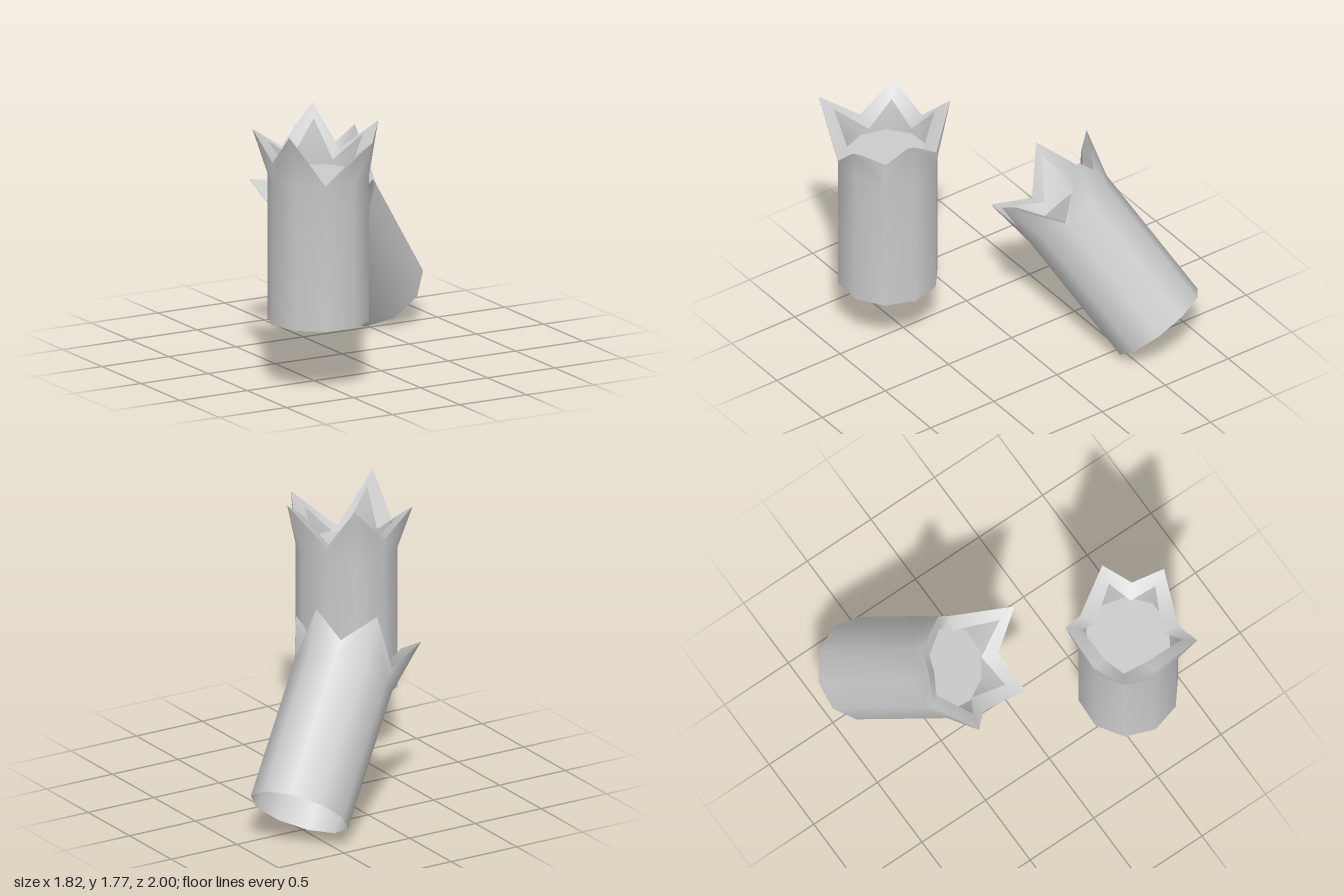
import * as THREE from 'three';

const SIDES = 10, R = 0.33, LENGTH = 0.96, START = 3 * Math.PI / 180;
const material = new THREE.MeshStandardMaterial({ color: 0xcccccc, side: THREE.DoubleSide });

// Torn rim, [angle in degrees, radius, height above the tube], tips and notches alternating
const RIM = [
  [11, 0.41, 0.33], [39, 0.33, 0.13], [67, 0.435, 0.28], [112, 0.33, 0.01], [143.6, 0.47, 0.36],
  [183, 0.33, 0.12], [220, 0.43, 0.29], [256, 0.34, 0.13], [295, 0.41, 0.38], [325, 0.33, 0.10],
];

const polar = (angle, r, y) => [Math.cos(angle) * r, y, Math.sin(angle) * r];
const ring = (r, y) => RIM.map((_, i) => polar(START + i * Math.PI * 2 / SIDES, r, y));
const rimRing = (inset, tipDrop, notchDrop) => RIM.map(([deg, r, h], i) =>
  polar(deg * Math.PI / 180, r - inset, LENGTH + h - (i % 2 ? notchDrop : tipDrop)));

// Skins a stack of closed rings
function loft(rings) {
  const index = [];
  for (let j = 0; j < rings.length - 1; j++) {
    for (let i = 0; i < SIDES; i++) {
      const n = (i + 1) % SIDES;
      const a = j * SIDES + i, b = j * SIDES + n, c = a + SIDES, d = b + SIDES;
      // diagonals start from the notches so both flanks of a tip match
      if (i % 2) index.push(a, c, d, a, d, b);
      else index.push(a, c, b, b, c, d);
    }
  }
  const geometry = new THREE.BufferGeometry();
  geometry.setAttribute('position', new THREE.Float32BufferAttribute(rings.flat(2), 3));
  geometry.setIndex(index);
  geometry.computeVertexNormals();
  return geometry;
}

function createTube(name) {
  const tube = new THREE.Group();
  tube.name = name;
  const add = (part, geometry) => {
    const mesh = new THREE.Mesh(geometry, material);
    mesh.name = part;
    tube.add(mesh);
    return mesh;
  };

  // Open-bottomed wall flaring into the torn points
  add('tubeWall', loft([ring(R, 0), ring(R, LENGTH), rimRing(0, 0, 0)]));
  // Sloping lip showing the thickness of the torn points
  add('tornLip', loft([rimRing(0, 0, 0), rimRing(0.105, 0.08, 0.05)]));
  // Loose disc inside the mouth
  const disc = add('innerDisc', new THREE.CircleGeometry(0.28, SIDES, START));
  disc.rotation.x = -Math.PI / 2;
  disc.position.y = LENGTH;
  return tube;
}

export function createModel() {
  const model = new THREE.Group();
  model.name = 'burstTubes';

  const upright = createTube('uprightTube');
  upright.position.set(-0.53, 0.44, 0.6);

  // Second tube leans toward the front right, spun about its axis
  const leaning = createTube('leaningTube');
  const axis = new THREE.Vector3(-0.565, 0.75, 0.345).normalize();
  const across = new THREE.Vector3(0.016, 0.43, -0.903).normalize();
  const depth = new THREE.Vector3().crossVectors(across, axis).normalize();
  across.crossVectors(axis, depth);
  leaning.quaternion.setFromRotationMatrix(new THREE.Matrix4().makeBasis(across, axis, depth));
  leaning.position.set(0.65, 0.22, -0.7);

  model.add(upright, leaning);
  return model;
}
